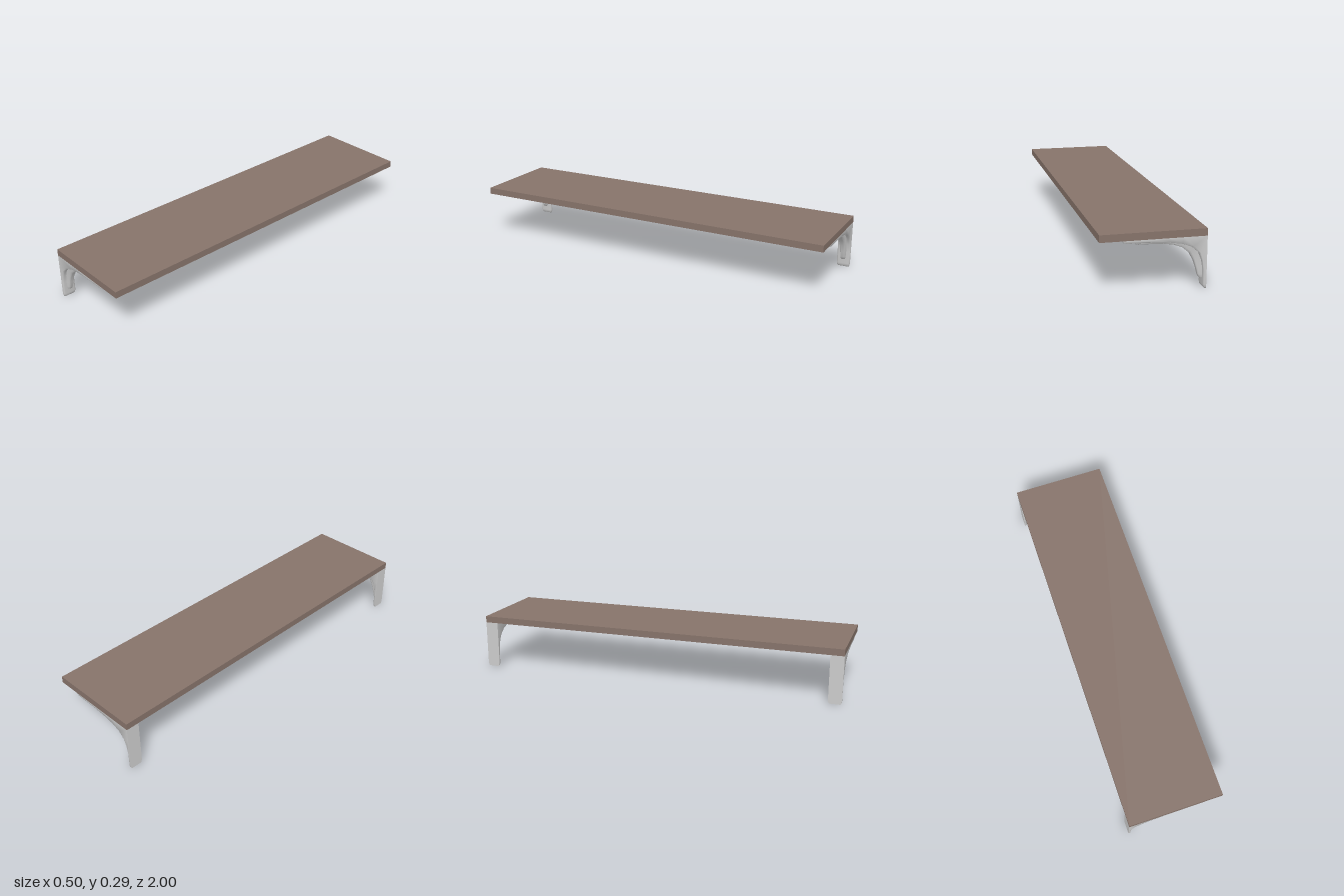
import * as THREE from 'three';
import { toCreasedNormals } from 'three/addons/utils/BufferGeometryUtils.js';

// Lofts a rounded cross-section along a concave profile, filling back to the
// wall line (x = wall) and the shelf line (y = top). Profile rows: x, y, half width.
function bracketGeometry(profile, corner, wall, top, round, section) {
  const pos = [], index = [], n = section.length;
  profile.forEach(([x, y, w], i) => {
    const qx = i > corner ? x : wall;
    const qy = i < corner ? y : top;
    const dist = Math.hypot(qx - x, qy - y);
    for (const [across, depth] of section) {
      // depth 1 lies on the wall or shelf line; smaller depths round the edge
      const t = depth === 1 ? 1 : dist > 0 ? Math.min(depth * round / dist, 0.9 * depth) : 0;
      pos.push(x + (qx - x) * t, y + (qy - y) * t, across * w);
    }
  });
  for (let i = 0; i < profile.length - 1; i++) {
    for (let j = 0; j < n; j++) {
      const k = (j + 1) % n;
      const a = i * n + j, c = i * n + k, b = a + n, d = c + n;
      index.push(a, c, d, a, d, b);
    }
  }
  const geo = new THREE.BufferGeometry();
  geo.setAttribute('position', new THREE.Float32BufferAttribute(pos, 3));
  geo.setIndex(index);
  return toCreasedNormals(geo, 0.8);
}

// Mirrors half a cross-section to the other side
const mirrored = half => [...half, ...half.slice().reverse().map(([a, d]) => [-a, d])];

export function createModel() {
  const group = new THREE.Group();
  const wood = new THREE.MeshStandardMaterial({ color: 0x86736a });
  const metal = new THREE.MeshStandardMaterial({ color: 0xcccccc });

  // Shelf board
  const board = new THREE.Mesh(new THREE.BoxGeometry(0.5, 0.035, 2), wood);
  board.name = 'shelfBoard';
  board.position.y = 0.2705;
  group.add(board);

  // Wide bracket body
  const bodyGeo = bracketGeometry([
    [-0.25, 0, 0.028], [-0.242, 0.002, 0.03], [-0.238, 0.008, 0.033], [-0.236, 0.02, 0.035],
    [-0.236, 0.09, 0.035], [-0.228, 0.135, 0.035], [-0.212, 0.174, 0.035],
    [-0.18, 0.203, 0.035], [-0.136, 0.22, 0.035], [-0.07, 0.231, 0.035],
    [0, 0.236, 0.035], [0.12, 0.238, 0.035], [0.135, 0.24, 0.033],
    [0.142, 0.245, 0.03], [0.145, 0.253, 0.028],
  ], 7, -0.25, 0.253, 0.009, mirrored([[1, 1], [1, 0.9], [0.96, 0.4], [0.89, 0.1], [0.78, 0]]));

  // Narrow stiffening rib, widest near the bend
  const ribGeo = bracketGeometry([
    [-0.244, 0.046, 0.009], [-0.228, 0.046, 0.01], [-0.22, 0.051, 0.011], [-0.214, 0.064, 0.012],
    [-0.206, 0.095, 0.013], [-0.193, 0.133, 0.014], [-0.172, 0.17, 0.016],
    [-0.14, 0.197, 0.016], [-0.1, 0.212, 0.015], [-0.05, 0.22, 0.014],
    [0, 0.222, 0.013], [0.065, 0.223, 0.012], [0.077, 0.226, 0.011],
    [0.082, 0.231, 0.01], [0.082, 0.246, 0.009],
  ], 6, -0.246, 0.249, 0.01, mirrored([[1.15, 1], [1, 0.9], [0.88, 0.4], [0.65, 0.1], [0.35, 0]]));

  // One bracket at each end
  for (const side of [1, -1]) {
    const bracket = new THREE.Group();
    bracket.name = side > 0 ? 'frontBracket' : 'backBracket';
    const body = new THREE.Mesh(bodyGeo, metal);
    body.name = 'bracketBody';
    const rib = new THREE.Mesh(ribGeo, metal);
    rib.name = 'bracketRib';
    bracket.add(body, rib);
    bracket.position.z = side * 0.965;
    group.add(bracket);
  }
  return group;
}
